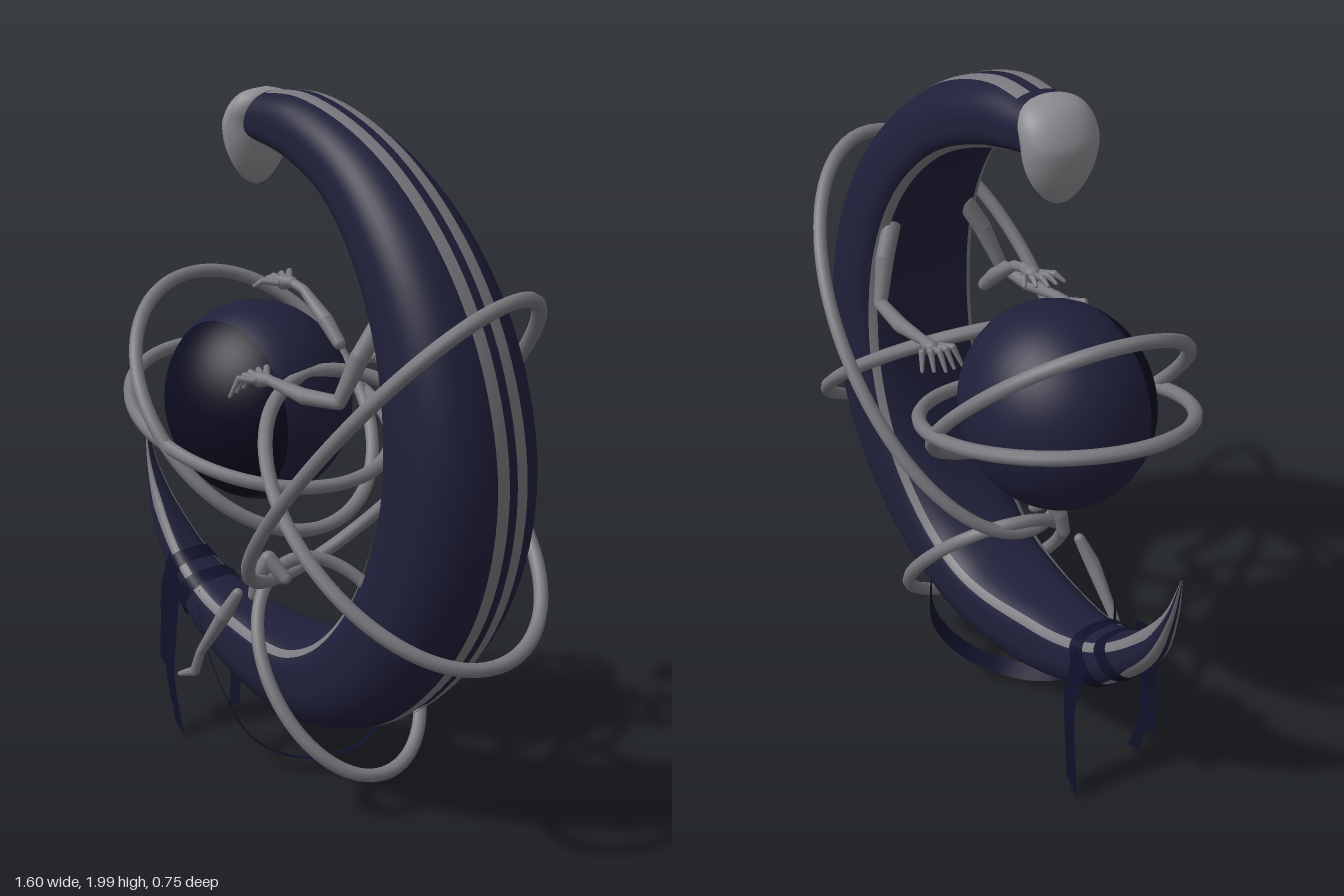
import * as THREE from 'three';

const mat = (name, color, side = THREE.FrontSide) => {
  const m = new THREE.MeshStandardMaterial({ color, side });
  m.name = name;
  return m;
};
const V = (x, y, z = 0) => new THREE.Vector3(x, y, z);
const MID = -0.03; // z of the crescent's middle plane

// Crescent stations from head to tail: outer x, y, inner x, y, half depth
const STATIONS = [
  [-0.2, 1.99, -0.2, 1.86, 0.09], [0, 1.985, -0.03, 1.815, 0.11],
  [0.275, 1.87, 0.14, 1.73, 0.135], [0.51, 1.66, 0.285, 1.575, 0.165],
  [0.67, 1.395, 0.385, 1.35, 0.185], [0.745, 1.08, 0.415, 1.08, 0.195],
  [0.707, 0.785, 0.38, 0.865, 0.195], [0.59, 0.55, 0.295, 0.685, 0.19],
  [0.38, 0.335, 0.16, 0.54, 0.175], [0.17, 0.235, 0.03, 0.475, 0.16],
  [-0.03, 0.21, -0.08, 0.465, 0.145], [-0.25, 0.24, -0.22, 0.475, 0.12],
  [-0.465, 0.335, -0.38, 0.495, 0.095], [-0.62, 0.47, -0.53, 0.555, 0.07],
  [-0.73, 0.615, -0.66, 0.67, 0.045], [-0.78, 0.785, -0.755, 0.8, 0.02],
  [-0.8, 0.935, -0.799, 0.935, 0.002],
];
const outerCurve = new THREE.CatmullRomCurve3(STATIONS.map(s => V(s[0], s[1], s[4])));
const innerCurve = new THREE.CatmullRomCurve3(STATIONS.map(s => V(s[2], s[3])));

// Point on the crescent: s runs head to tail, t turns from the outer ridge toward +z
function crescentPoint(s, t, grow) {
  const o = outerCurve.getPoint(s), i = innerCurve.getPoint(s);
  const c = Math.cos(t), n = Math.sin(t);
  const u = (c > 0 ? c : -Math.sqrt(-c)) * grow;
  const w = Math.sign(n) * Math.abs(n) ** 0.8 * grow;
  return V((o.x + i.x) / 2 + (o.x - i.x) / 2 * u, (o.y + i.y) / 2 + (o.y - i.y) / 2 * u, MID + o.z * w);
}

// Patch of indexed quads from a point function
function patch(fn, rows, cols) {
  const pos = [], idx = [];
  for (let r = 0; r <= rows; r++)
    for (let c = 0; c <= cols; c++) pos.push(...fn(r / rows, c / cols).toArray());
  for (let r = 0; r < rows; r++)
    for (let c = 0; c < cols; c++) {
      const a = r * (cols + 1) + c, b = a + cols + 1;
      idx.push(a, a + 1, b, a + 1, b + 1, b);
    }
  const g = new THREE.BufferGeometry();
  g.setAttribute('position', new THREE.Float32BufferAttribute(pos, 3));
  g.setIndex(idx);
  g.computeVertexNormals();
  return g;
}
const crescentBand = (s0, s1, grow, rows) =>
  patch((r, c) => crescentPoint(s0 + (s1 - s0) * r, (c * 2 - 1) * Math.PI, grow), rows, 48);

// Trim ranges of t that keep a steady width while the body narrows
const ridgeRange = s => {
  const depth = Math.max(outerCurve.getPoint(s).z, 0.06);
  return [0.014, 0.052].map(w => Math.asin((w / depth) ** 1.25));
};
const innerRange = s => {
  const half = Math.min(0.019 / outerCurve.getPoint(s).z, 0.5), mid = 2.35 - 0.28 * s;
  return [mid - half, mid + half];
};
const trim = (range, side) => patch((r, c) => {
  const s = 0.02 + 0.975 * r, [a, b] = range(s);
  return crescentPoint(s, side > 0 ? a + (b - a) * c : -b + (b - a) * c, 1.035);
}, 120, 6);

export function createModel() {
  const root = new THREE.Group();
  const navy = mat('navy', 0x1f1f3a);
  const black = mat('nightBlue', 0x0c0c20);
  const cloth = mat('darkCloth', 0x10102a, THREE.DoubleSide);
  const grey = mat('grey', 0x78787e);
  const paleGrey = mat('paleGrey', 0x8c8c91);
  const add = (name, geo, material, parent = root) => {
    const m = new THREE.Mesh(geo, material);
    m.name = name;
    parent.add(m);
    return m;
  };

  // Crescent body with raised trim lines
  add('crescentBody', crescentBand(0, 1, 1, 120), navy);
  for (const side of [1, -1]) {
    add('ridgeTrim', trim(ridgeRange, side), grey);
    add('innerTrim', trim(innerRange, side), grey);
  }

  // Hooded head with a blunt beak at its lower end
  const profile = [[0, 1.73], [0.025, 1.745], [0.05, 1.785], [0.068, 1.84], [0.074, 1.9], [0.07, 1.95], [0.048, 1.985], [0, 2]];
  const headCurve = new THREE.SplineCurve(profile.map(p => new THREE.Vector2(...p)));
  const headGeo = new THREE.LatheGeometry(headCurve.getPoints(24).map(p => p.set(Math.max(p.x, 0), p.y)), 28);
  const hp = headGeo.attributes.position;
  for (let i = 0; i < hp.count; i++) // lean the crown back over the neck
    hp.setX(i, hp.getX(i) + Math.max(0, hp.getY(i) - 1.9) * 0.45);
  headGeo.scale(1, 1, 1.42);
  headGeo.computeVertexNormals();
  add('head', headGeo, paleGrey).position.set(-0.233, 0, -0.022);

  // Orb with a dark face turned forward and slightly down
  const orb = new THREE.Group();
  orb.name = 'orb';
  const split = 1.1;
  add('orbShell', new THREE.SphereGeometry(0.284, 40, 24, 0, Math.PI * 2, split, Math.PI - split), navy, orb);
  add('orbFace', new THREE.SphereGeometry(0.284, 40, 16, 0, Math.PI * 2, 0, split), black, orb);
  for (const m of orb.children) m.quaternion.setFromUnitVectors(V(0, 1, 0), V(0.04, -0.08, 1).normalize());
  orb.scale.set(1, 1.01, 0.91);
  orb.position.set(-0.216, 1.12, -0.008);
  root.add(orb);

  // Orbiting rings: centre, long half axis, other half axis
  const rings = [
    ['upperBodyRing', V(0.33, 1.08, 0), V(0.425, 0.46, 0), V(0.03, -0.03, 0.355)],
    ['lowerBodyRing', V(0.4, 0.93, 0.01), V(0.375, -0.31, 0), V(-0.035, -0.045, 0.32)],
    ['steepOrbRing', V(-0.215, 1.13, 0), V(0.29, -0.32, 0), V(-0.03, -0.03, 0.34)],
    ['shallowOrbRing', V(-0.21, 1.09, -0.01), V(0.4, -0.12, 0), V(-0.01, -0.035, 0.345)],
    ['tailRing', V(0.11, 0.4, -0.032), V(0.205, -0.26, 0), V(-0.035, -0.03, 0.22)],
  ];
  for (const [name, c, a, b] of rings) {
    const pts = [];
    for (let i = 0; i < 32; i++) {
      const t = i / 32 * Math.PI * 2;
      pts.push(c.clone().addScaledVector(a, Math.cos(t)).addScaledVector(b, Math.sin(t)));
    }
    add(name, new THREE.TubeGeometry(new THREE.CatmullRomCurve3(pts, true), 96, 0.02, 8, true), grey);
  }

  // Limbs: tapered bones with round joints
  const limb = (parent, name, pts, radii) => {
    pts.forEach((p, i) => {
      add(name + 'Joint', new THREE.SphereGeometry(radii[i], 10, 8), grey, parent).position.copy(p);
      if (!i) return;
      const q = pts[i - 1], d = p.clone().sub(q);
      const bone = add(name, new THREE.CylinderGeometry(radii[i], radii[i - 1], d.length(), 10, 1, true), grey, parent);
      bone.position.copy(p).add(q).multiplyScalar(0.5);
      bone.quaternion.setFromUnitVectors(V(0, 1, 0), d.normalize());
    });
  };
  const hand = (parent, p, droop) => {
    limb(parent, 'palm', [p, p.clone().add(V(-0.035, -0.004, 0))], [0.016, 0.022]);
    for (let f = -2; f <= 2; f++) {
      const k = p.clone().add(V(-0.035, -0.004, f * 0.01));
      const reach = 0.042 - Math.abs(f) * 0.005;
      limb(parent, 'finger', [k, k.clone().add(V(-reach, 0.012 - f * 0.004, f * 0.014)),
        k.clone().add(V(-reach * 1.7, -droop - f * 0.006, f * 0.021))], [0.01, 0.009, 0.005]);
    }
  };
  for (const side of [1, -1]) {
    const arm = new THREE.Group();
    arm.name = side > 0 ? 'frontArm' : 'backArm';
    const z = d => MID + side * d;
    const wrist = V(0.065, 1.255, z(0.215));
    limb(arm, 'armBone', [V(0.385, 1.44, z(0.12)), V(0.36, 1.36, z(0.16)), V(0.325, 1.24, z(0.2)),
      V(0.2, 1.235, z(0.21)), wrist], [0.026, 0.026, 0.019, 0.022, 0.014]);
    hand(arm, wrist, 0.035);
    root.add(arm);
  }
  const upperArm = new THREE.Group();
  upperArm.name = 'upperForearm';
  limb(upperArm, 'armBone', [V(0.115, 1.335, -0.02), V(0.06, 1.39, -0.02), V(-0.03, 1.46, -0.02), V(-0.08, 1.475, -0.02)],
    [0.018, 0.022, 0.014, 0.013]);
  hand(upperArm, V(-0.08, 1.475, -0.02), 0);
  root.add(upperArm);

  // Folded leg reaching over the lower curve
  const leg = new THREE.Group();
  leg.name = 'leg';
  limb(leg, 'knee', [V(-0.03, 0.64, 0.05), V(-0.08, 0.69, 0.07), V(-0.1, 0.64, 0.09), V(-0.11, 0.58, 0.1)],
    [0.018, 0.024, 0.024, 0.018]);
  limb(leg, 'shin', [V(-0.16, 0.575, 0.12), V(-0.2, 0.5, 0.14), V(-0.3, 0.36, 0.15), V(-0.33, 0.29, 0.15), V(-0.39, 0.265, 0.16)],
    [0.016, 0.022, 0.014, 0.015, 0.008]);
  root.add(leg);

  // Cloth wraps around the tail
  for (const [s, width] of [[0.81, 0.018], [0.772, 0.02]]) add('clothWrap', crescentBand(s, s + width, 1.1, 4), cloth);

  // Hanging ribbons and the slung loop
  const ribbon = (name, pts, across) => {
    const curve = new THREE.CatmullRomCurve3(pts);
    add(name, patch((r, c) => curve.getPoint(r).addScaledVector(across, c - 0.5), 28, 2), cloth);
  };
  ribbon('shortRibbon', [V(-0.57, 0.55, 0.04), V(-0.6, 0.44, 0.05), V(-0.595, 0.32, 0.06), V(-0.6, 0.2, 0.06)], V(0.065, -0.03, 0.01));
  ribbon('longFrontRibbon', [V(-0.51, 0.53, 0.08), V(-0.52, 0.38, 0.09), V(-0.535, 0.2, 0.09), V(-0.49, 0.03, 0.09)], V(0.06, -0.03, 0.01));
  ribbon('longBackRibbon', [V(-0.5, 0.5, -0.12), V(-0.5, 0.35, -0.15), V(-0.505, 0.2, -0.15), V(-0.52, 0.03, -0.15)], V(0.065, 0.03, 0.01));
  ribbon('slungLoop', [V(-0.45, 0.56, 0.03), V(-0.38, 0.42, 0.09), V(-0.28, 0.24, 0.09), V(-0.17, 0.1, 0.06),
    V(-0.04, 0.055, -0.03), V(0.08, 0.11, -0.14), V(0.14, 0.22, -0.2), V(0.15, 0.36, -0.2)], V(0.045, 0.018, 0.035));
  return root;
}
